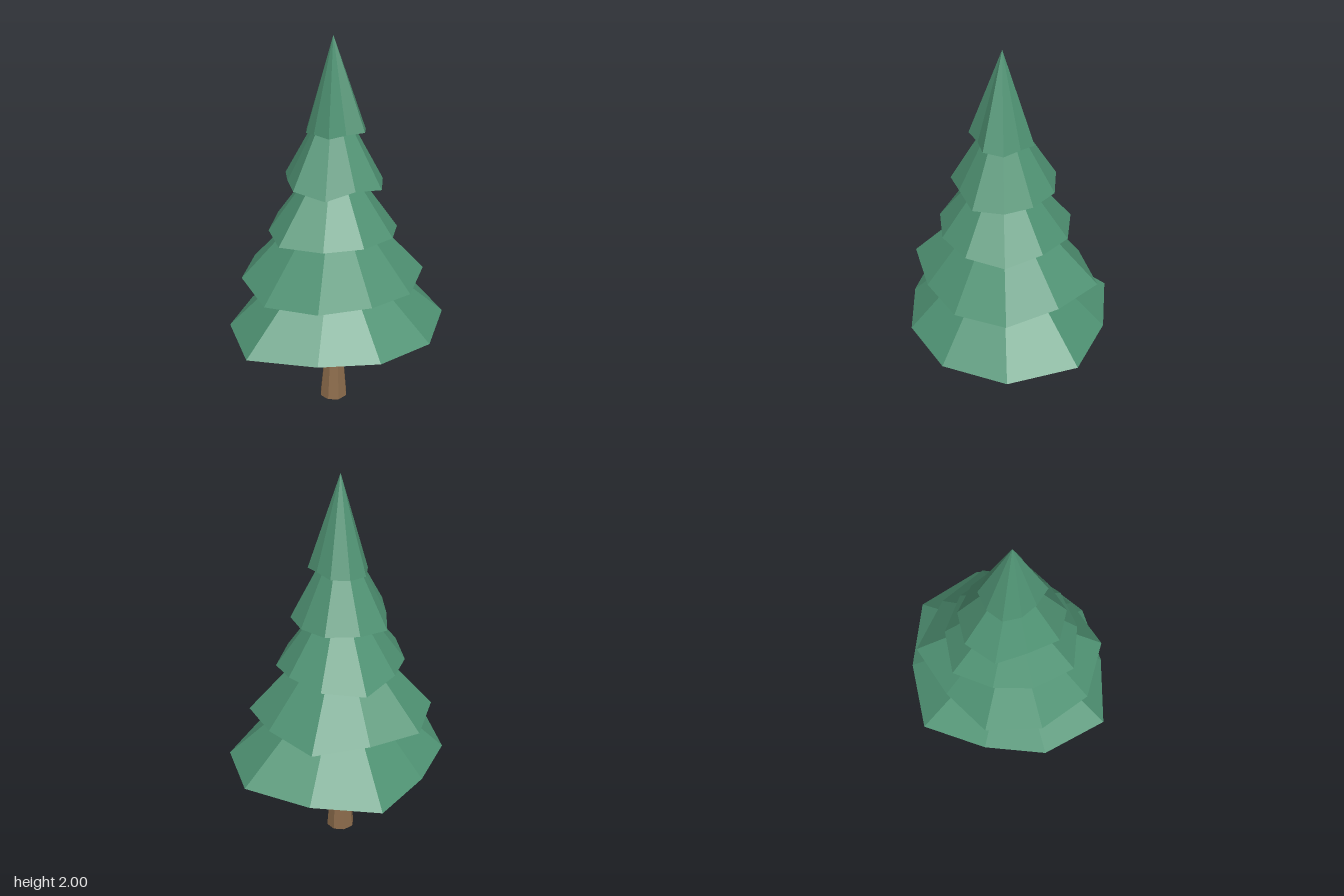
import * as THREE from 'three';

// Each tier: rim height, tip height, ten rim radii (clockwise from the right-hand -x side) and rim dips in hundredths
const TIERS = [
  { name: 'bottomTier', y: 0.48, tip: 1.0,
    r: [0.61, 0.55, 0.505, 0.60, 0.55, 0.61, 0.585, 0.545, 0.51, 0.50],
    dip: [0, 0, 1, 2, 1, 0, 1, 1.5, 0.5, 0] },
  { name: 'lowerTier', y: 0.76, tip: 1.27,
    r: [0.485, 0.48, 0.48, 0.43, 0.505, 0.45, 0.47, 0.43, 0.41, 0.48],
    dip: [3, 1, 2.5, 2, 2, 0, 2, 3.5, 2, 0] },
  { name: 'middleTier', y: 1.02, tip: 1.47,
    r: [0.38, 0.335, 0.33, 0.375, 0.34, 0.32, 0.325, 0.325, 0.32, 0.335],
    dip: [0, 1, 0, 3, 2, 0, 3, 0.5, 0, 0] },
  { name: 'upperTier', y: 1.285, tip: 1.74,
    r: [0.28, 0.235, 0.28, 0.285, 0.265, 0.24, 0.245, 0.26, 0.225, 0.27],
    dip: [0, 1, 3, 1, 2, 2.5, 2.5, 2.5, 0, 2.5] },
  { name: 'topTier', y: 1.54, tip: 2.0,
    r: [0.14, 0.14, 0.155, 0.15, 0.16, 0.14, 0.155, 0.165, 0.125, 0.17],
    dip: [0, 2, 3, 3, 2, 0.5, 1.5, 0, 0, 0] },
];

// Trunk sections: height, centre x, centre z, radius
const TRUNK = [
  [0, 0, 0.015, 0.075],
  [0.18, 0.005, 0.012, 0.058],
  [0.36, 0.022, 0.007, 0.053],
  [0.56, 0.055, 0.004, 0.04],
];

function facetedGeometry(points) {
  const geometry = new THREE.BufferGeometry().setFromPoints(points);
  geometry.computeVertexNormals();
  return geometry;
}

// Uneven ten-sided cone with a closed underside
function tierGeometry({ y, tip, r, dip }) {
  const n = r.length;
  const rim = r.map((radius, i) => {
    const a = (i / n) * Math.PI * 2;
    return new THREE.Vector3(-radius * Math.cos(a), y - dip[i] / 100, 0.02 - radius * Math.sin(a));
  });
  const apex = new THREE.Vector3(-0.005, tip, 0.016);
  const hub = new THREE.Vector3(0, rim.reduce((s, p) => s + p.y, 0) / n, 0.02);
  const points = [];
  rim.forEach((a, i) => {
    const b = rim[(i + 1) % n];
    points.push(b, a, apex, a, b, hub);
  });
  return facetedGeometry(points);
}

// Leaning, tapering octagonal trunk
function trunkGeometry(sides = 8) {
  const rings = TRUNK.map(([y, cx, cz, radius]) =>
    Array.from({ length: sides }, (_, i) => {
      const a = ((i + 0.5) / sides) * Math.PI * 2;
      return new THREE.Vector3(cx - radius * Math.cos(a), y, cz - radius * Math.sin(a));
    }));
  const base = new THREE.Vector3(TRUNK[0][1], 0, TRUNK[0][2]);
  const points = [];
  for (let i = 0; i < sides; i++) {
    const j = (i + 1) % sides;
    points.push(rings[0][i], rings[0][j], base);
    for (let k = 0; k < rings.length - 1; k++) {
      const lo = rings[k], hi = rings[k + 1];
      points.push(lo[j], lo[i], hi[i], lo[j], hi[i], hi[j]);
    }
  }
  return facetedGeometry(points);
}

export function createModel() {
  const needles = new THREE.MeshStandardMaterial({ color: 0x4f9273, flatShading: true });
  needles.name = 'needleGreen';
  const bark = new THREE.MeshStandardMaterial({ color: 0x8b6b4b, flatShading: true });
  bark.name = 'barkBrown';

  const tree = new THREE.Group();
  tree.name = 'pineTree';
  const add = (name, geometry, material) => {
    const mesh = new THREE.Mesh(geometry, material);
    mesh.name = name;
    tree.add(mesh);
  };

  add('trunk', trunkGeometry(), bark);
  TIERS.forEach((tier) => add(tier.name, tierGeometry(tier), needles));
  return tree;
}
